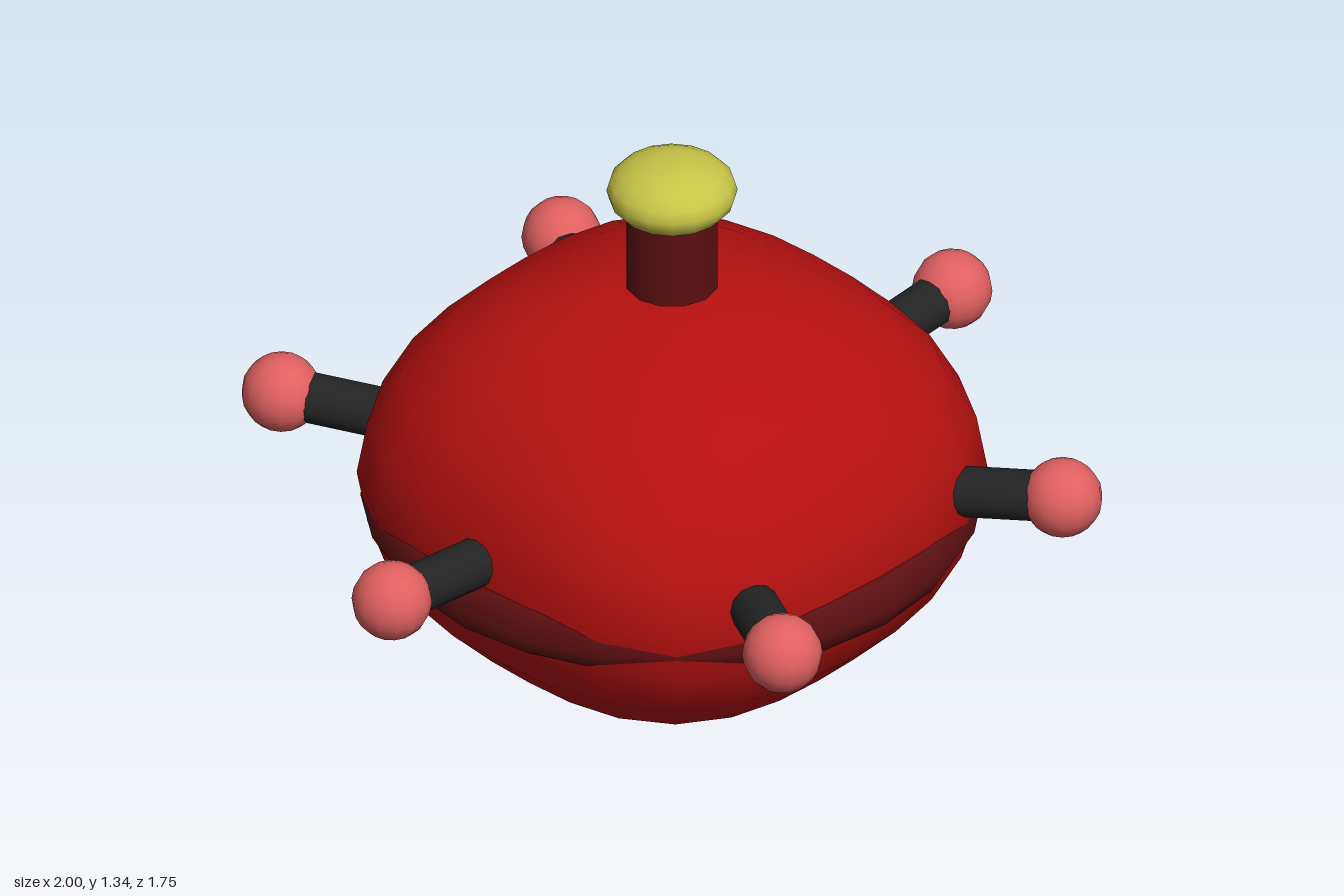
import * as THREE from 'three';
import { mergeVertices } from 'three/addons/utils/BufferGeometryUtils.js';

const material = (name, color) => {
  const m = new THREE.MeshStandardMaterial({ color });
  m.name = name;
  return m;
};

export function createModel() {
  const red = material('red', 0xb51010);
  const darkRed = material('dark red', 0x5c0f10);
  const black = material('black', 0x242424);
  const pink = material('pink', 0xe06060);
  const yellow = material('yellow', 0xc8c448);
  const model = new THREE.Group();

  const add = (parent, name, geometry, mat, x = 0, y = 0, z = 0) => {
    const mesh = new THREE.Mesh(geometry, mat);
    mesh.name = name;
    mesh.position.set(x, y, z);
    parent.add(mesh);
    return mesh;
  };

  // Body: an ellipsoid whose plan is a rounded square
  let body = new THREE.SphereGeometry(1, 24, 12);
  const p = body.attributes.position;
  const power = 2.7;
  for (let i = 0; i < p.count; i++) {
    const x = p.getX(i), z = p.getZ(i);
    const r = Math.hypot(x, z);
    const swell = r < 1e-6 ? 1
      : r / Math.pow(Math.abs(x) ** power + Math.abs(z) ** power, 1 / power);
    p.setXYZ(i, x * swell * 0.65, p.getY(i) * 0.512, z * swell * 0.65);
  }
  body.deleteAttribute('uv');
  body.deleteAttribute('normal');
  body = mergeVertices(body, 1e-4);
  body.computeVertexNormals();
  add(model, 'body', body, red, 0, 0.517, 0);

  // Six-sided band that breaks through the body
  const band = new THREE.TorusGeometry(0.635, 0.068, 6, 24).rotateX(Math.PI / 2);
  add(model, 'band', band, darkRed, 0, 0.457, 0);

  // Neck and knob
  add(model, 'neck', new THREE.CylinderGeometry(0.106, 0.106, 0.3, 12), darkRed, 0, 1.09, 0);
  const knob = new THREE.SphereGeometry(1, 16, 10).scale(0.148, 0.081, 0.148);
  add(model, 'knob', knob, yellow, 0, 1.264, 0);

  // Six slightly raised arms with ball tips
  const inner = new THREE.Vector2(0.57, 0.553), outer = new THREE.Vector2(0.9, 0.583);
  const length = inner.distanceTo(outer);
  const tilt = Math.atan2(outer.y - inner.y, outer.x - inner.x);
  const rod = new THREE.CylinderGeometry(0.058, 0.058, length, 12);
  const ball = new THREE.SphereGeometry(0.091, 14, 10);
  for (let i = 0; i < 6; i++) {
    const arm = new THREE.Group();
    arm.name = 'arm' + (i + 1);
    arm.rotation.y = i * Math.PI / 3;
    const mid = inner.clone().add(outer).multiplyScalar(0.5);
    add(arm, 'armRod', rod, black, mid.x, mid.y, 0).rotation.z = tilt - Math.PI / 2;
    add(arm, 'armBall', ball, pink, 0.908, 0.583, 0);
    model.add(arm);
  }
  return model;
}
